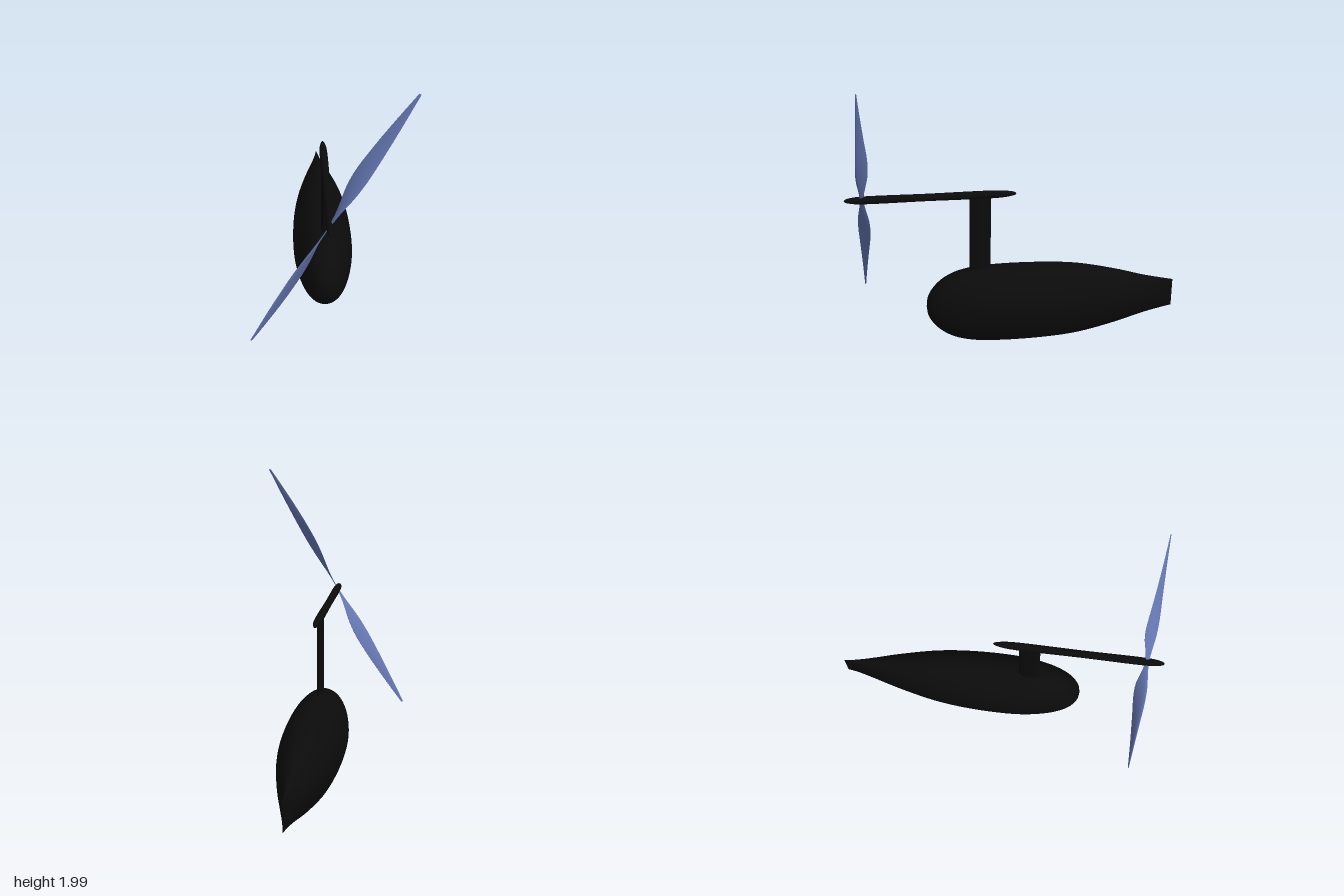
import * as THREE from 'three';

const black = new THREE.MeshStandardMaterial({ color: 0x0b0b0b });
const blue = new THREE.MeshStandardMaterial({ color: 0x6678b4, side: THREE.DoubleSide });

// Skin a list of closed rings (arrays of Vector3) and close both ends
function loft(rings) {
  const n = rings[0].length, pos = [], idx = [];
  rings.forEach(r => r.forEach(p => pos.push(p.x, p.y, p.z)));
  for (let i = 0; i < rings.length - 1; i++) {
    for (let j = 0; j < n; j++) {
      const k = (j + 1) % n, a = i * n + j, b = i * n + k;
      idx.push(a, b, a + n, b, b + n, a + n);
    }
  }
  const last = (rings.length - 1) * n;
  for (let j = 1; j < n - 1; j++) {
    idx.push(0, j + 1, j);
    idx.push(last, last + j, last + j + 1);
  }
  const g = new THREE.BufferGeometry();
  g.setAttribute('position', new THREE.Float32BufferAttribute(pos, 3));
  g.setIndex(idx);
  g.computeVertexNormals();
  return g;
}

// Smoothly resample a short table of stations with three values each
function smooth(table, count) {
  const curve = new THREE.CatmullRomCurve3(table.map(t => new THREE.Vector3(...t)), false, 'centripetal');
  return curve.getPoints(count);
}

function ring(n, fn) {
  return Array.from({ length: n }, (_, i) => {
    const a = (i / n) * Math.PI * 2;
    return fn(Math.cos(a), Math.sin(a));
  });
}

function mesh(name, geometry, material) {
  const m = new THREE.Mesh(geometry, material);
  m.name = name;
  return m;
}

// Elliptical body along z from stations [z, half width, half height]
function body(table, centreY, count) {
  return loft(smooth(table, count).map(s =>
    ring(48, (c, d) => new THREE.Vector3(
      Math.max(s.y, 0.0005) * c, centreY + Math.max(s.z, 0.0005) * d, s.x))));
}

// Twisted blade along +y from stations [radius, chord, pitch in degrees]
function bladeGeometry() {
  const stations = [
    [0, 0.025, 78], [0.06, 0.035, 74], [0.13, 0.058, 67], [0.21, 0.088, 59],
    [0.3, 0.106, 51], [0.4, 0.108, 44], [0.52, 0.095, 38], [0.66, 0.076, 33],
    [0.84, 0.046, 28], [1.014, 0.014, 25],
  ];
  // degrees are scaled down so the curve stays evenly spaced
  return loft(smooth(stations.map(([r, c, b]) => [r, c, b / 100]), 50).map(s => {
    const b = THREE.MathUtils.degToRad(s.z * 100);
    const thick = 0.06 * s.y + 0.001;
    return ring(20, (c, d) => {
      const u = s.y * (c * 0.5 - 0.14);
      const v = thick * d * (1 + 0.5 * c);
      return new THREE.Vector3(
        u * Math.cos(b) + v * Math.sin(b), s.x, u * Math.sin(b) - v * Math.cos(b));
    });
  }));
}

export function createModel() {
  const group = new THREE.Group();
  const craft = new THREE.Group();
  craft.name = 'turbine';
  craft.rotation.y = THREE.MathUtils.degToRad(-40);
  craft.position.set(0.03, 0, 0.025);
  group.add(craft);

  // Hull: rounded nose, full middle, tail closing to an upright edge
  craft.add(mesh('hull', body([
    [-1.338, 0.001, 0.102], [-1.13, 0.062, 0.147], [-0.92, 0.12, 0.204],
    [-0.63, 0.181, 0.262], [-0.35, 0.208, 0.28], [-0.05, 0.208, 0.28],
    [0.1, 0.19, 0.269], [0.22, 0.163, 0.24], [0.31, 0.13, 0.19],
    [0.37, 0.092, 0.13], [0.405, 0.048, 0.07], [0.416, 0, 0],
  ], 0.281, 72), black));

  // Pylon: streamlined mast
  const mast = new THREE.CylinderGeometry(1, 1, 0.6, 40);
  mast.scale(0.021, 1, 0.073);
  const pylon = mesh('pylon', mast, black);
  pylon.position.set(0, 0.8, 0.04);
  craft.add(pylon);

  // Shaft: slim rod with tapered ends
  craft.add(mesh('shaft', body([
    [-0.208, 0, 0], [-0.2, 0.008, 0.008], [-0.16, 0.018, 0.018], [-0.09, 0.025, 0.025],
    [0.4, 0.025, 0.025], [0.85, 0.025, 0.025], [0.91, 0.018, 0.018],
    [0.94, 0.009, 0.009], [0.948, 0, 0],
  ], 1.1, 90), black));

  // Rotor: two opposite twisted blades
  const rotor = new THREE.Group();
  rotor.name = 'rotor';
  rotor.position.set(0, 1.102, 0.833);
  rotor.rotation.z = THREE.MathUtils.degToRad(-30);
  const shape = bladeGeometry();
  for (let i = 0; i < 2; i++) {
    const blade = mesh('blade', shape, blue);
    blade.rotation.z = i * Math.PI;
    rotor.add(blade);
  }
  craft.add(rotor);
  return group;
}
